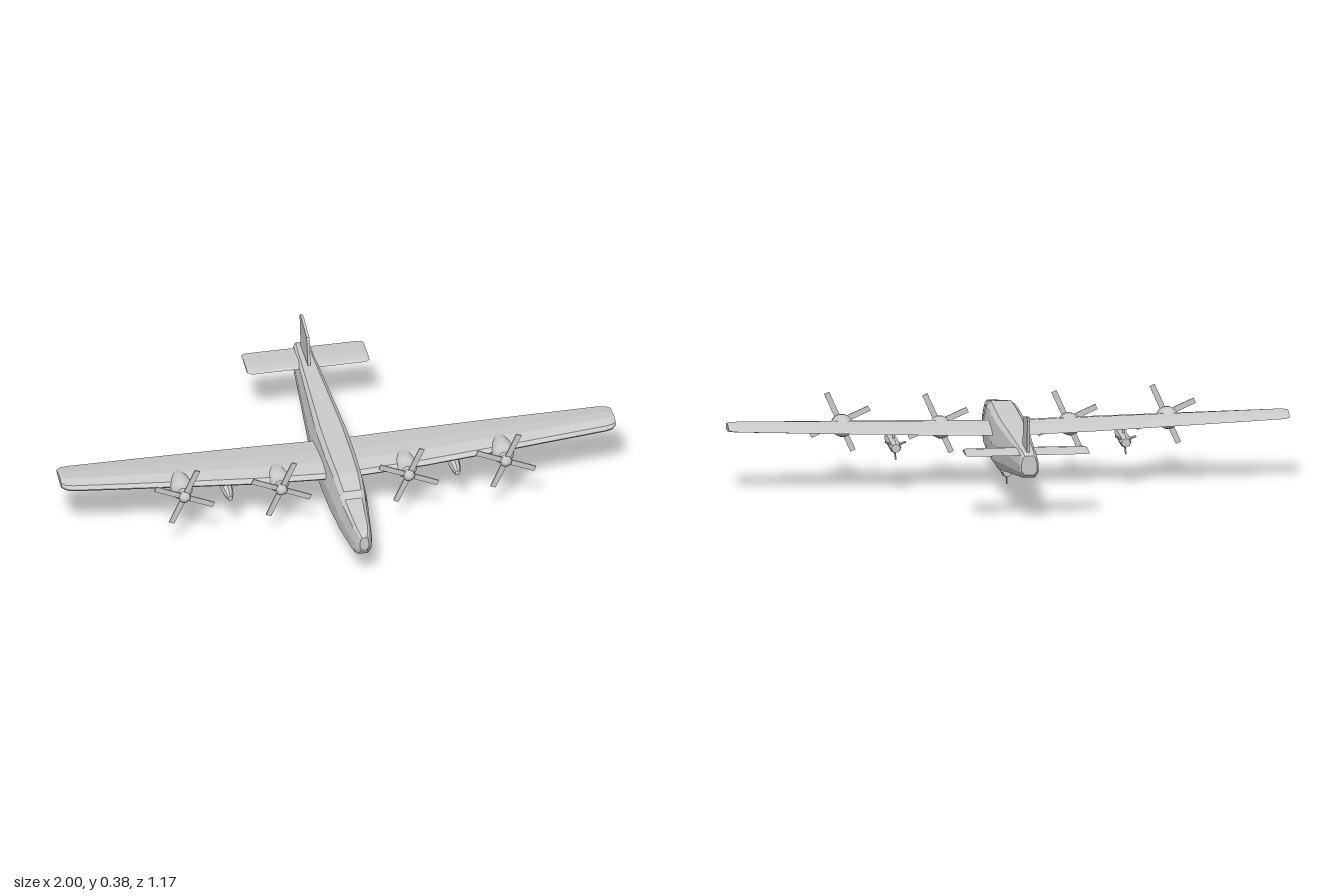
import * as THREE from 'three';

const flat = new THREE.MeshStandardMaterial({ color: 0xcccccc, flatShading: true, side: THREE.DoubleSide });
const smooth = new THREE.MeshStandardMaterial({ color: 0xcccccc, side: THREE.DoubleSide });

function add(parent, name, geometry, material = flat) {
  const mesh = new THREE.Mesh(geometry, material);
  mesh.name = name;
  parent.add(mesh);
  return mesh;
}

// Closed skin through equal-sized rings of [x, y, z], ends capped, faces turned outward
function loft(rings) {
  const n = rings[0].length, pos = rings.flat(2), tris = [];
  for (let r = 0; r < rings.length - 1; r++) {
    for (let i = 0; i < n; i++) {
      const a = r * n + i, b = r * n + (i + 1) % n;
      tris.push([a, b, b + n], [a, b + n, a + n]);
    }
  }
  const last = (rings.length - 1) * n;
  for (let i = 1; i < n - 1; i++) tris.push([0, i + 1, i], [last, last + i, last + i + 1]);
  const v = i => new THREE.Vector3().fromArray(pos, i * 3);
  const volume = tris.reduce((s, t) => s + v(t[0]).dot(v(t[1]).cross(v(t[2]))), 0);
  const g = new THREE.BufferGeometry();
  g.setAttribute('position', new THREE.Float32BufferAttribute(pos, 3));
  g.setIndex(tris.flatMap(t => (volume < 0 ? [t[0], t[2], t[1]] : t)));
  g.computeVertexNormals();
  return g;
}

// Lathe turned so that its axis runs along z; points are [radius, z]
function turned(points, sides) {
  const g = new THREE.LatheGeometry(points.map(p => new THREE.Vector2(...p)), sides);
  return g.rotateX(Math.PI / 2);
}

// Thin upright plate from a side outline of [z, y]
function plate(outline, thickness) {
  const shape = new THREE.Shape(outline.map(([z, y]) => new THREE.Vector2(-z, y)));
  const g = new THREE.ExtrudeGeometry(shape, { depth: thickness, bevelEnabled: false });
  return g.translate(0, 0, -thickness / 2).rotateY(Math.PI / 2);
}

// Angular hull ring: narrow deck, chamfered shoulders, wide flanks, sloping bilge
function hullRing([z, top, bottom, w]) {
  const h = top - bottom;
  const half = [[w * 0.55, top], [w * 0.78, top - h * 0.08], [w, bottom + h * 0.55],
    [w * 0.97, bottom + h * 0.2], [w * 0.62, bottom]];
  const right = half.map(([x, y]) => [x, y, z]);
  const left = half.map(([x, y]) => [-x, y, z]).reverse();
  return [...right, ...left];
}

// Airfoil ring at span x between leading and trailing edge
function foilRing([x, lead, trail, y, t]) {
  const profile = [[0, -0.2], [0.06, 0.55], [0.3, 1], [0.6, 0.75], [1, 0], [0.6, -0.75], [0.2, -0.95], [0.04, -0.7]];
  return profile.map(([c, k]) => [x, y + k * t, lead + (trail - lead) * c]);
}

const mirrored = rows => [...rows.slice().reverse().map(([x, ...r]) => [-x, ...r]), ...rows];

function engine(x, y) {
  const g = new THREE.Group();
  g.name = 'engine';
  add(g, 'nacelle', turned([[0, 0.03], [0.012, 0.06], [0.026, 0.1], [0.036, 0.14], [0.04, 0.17],
    [0.037, 0.195], [0.028, 0.208], [0, 0.21]], 20), smooth);
  add(g, 'propellerHub', turned([[0.019, 0.2], [0.019, 0.215], [0.016, 0.218], [0.02, 0.225],
    [0.02, 0.243], [0.012, 0.252], [0, 0.255]], 16), smooth);
  const propeller = new THREE.Group();
  propeller.name = 'propeller';
  for (let i = 0; i < 4; i++) {
    const blade = add(propeller, 'propellerBlade', new THREE.BoxGeometry(0.02, 0.1, 0.005).translate(0, 0.065, 0));
    blade.rotation.z = -0.42 + i * Math.PI / 2;
  }
  propeller.position.z = 0.234;
  g.add(propeller);
  g.position.set(x, y, 0);
  return g;
}

// Slung store with three tail fins and two short pylons
function store(x, y, z) {
  const g = new THREE.Group();
  g.name = 'underslungStore';
  add(g, 'storeBody', turned([[0, -0.12], [0.016, -0.12], [0.021, -0.1], [0.021, 0.06],
    [0.017, 0.09], [0.009, 0.12], [0, 0.122]], 8));
  for (let i = 0; i < 3; i++) {
    const fin = add(g, 'storeFin', plate([[-0.065, -0.015], [-0.1, -0.043], [-0.115, -0.043], [-0.1, -0.015]], 0.004));
    fin.rotation.z = i * Math.PI * 2 / 3;
  }
  for (const pz of [0.03, -0.035]) {
    add(g, 'storePylon', new THREE.BoxGeometry(0.006, 0.03, 0.01)).position.set(0, 0.028, pz);
  }
  g.position.set(x, y, z);
  return g;
}

export function createModel() {
  const model = new THREE.Group();
  model.name = 'aircraft';

  // Hull rows: z, top, bottom, half width
  add(model, 'fuselage', loft([
    [0.585, 0.195, 0.145, 0.016], [0.565, 0.209, 0.115, 0.029], [0.53, 0.214, 0.1, 0.038],
    [0.4, 0.224, 0.085, 0.053], [0.385, 0.227, 0.084, 0.055], [0.365, 0.248, 0.083, 0.057],
    [0.28, 0.265, 0.08, 0.065], [0.15, 0.265, 0.08, 0.07], [-0.02, 0.263, 0.08, 0.07],
    [-0.42, 0.256, 0.143, 0.045], [-0.565, 0.253, 0.165, 0.036], [-0.585, 0.246, 0.178, 0.028],
  ].map(hullRing)));

  // Wing rows: x, leading z, trailing z, height, half thickness
  add(model, 'wing', loft(mirrored([
    [0.05, 0.207, -0.03, 0.204, 0.019], [0.3, 0.199, -0.028, 0.211, 0.019],
    [0.6, 0.175, -0.019, 0.221, 0.018], [0.96, 0.143, -0.005, 0.233, 0.017],
    [0.985, 0.136, 0.001, 0.234, 0.016], [1, 0.118, 0.015, 0.235, 0.014],
  ]).map(foilRing)));

  add(model, 'tailplane', loft(mirrored([
    [0.03, -0.425, -0.557, 0.243, 0.007], [0.205, -0.425, -0.557, 0.243, 0.007],
    [0.22, -0.435, -0.548, 0.243, 0.005],
  ]).map(foilRing)));

  add(model, 'tailFin', plate([[-0.418, 0.235], [-0.438, 0.352], [-0.445, 0.36], [-0.55, 0.381],
    [-0.566, 0.378], [-0.571, 0.37], [-0.55, 0.235]], 0.01));

  for (const side of [-1, 1]) {
    model.add(engine(side * 0.23, 0.198), engine(side * 0.58, 0.212));
    model.add(store(side * 0.41, 0.166, 0.092));
  }
  model.add(store(0, 0.046, 0.2));
  return model;
}
